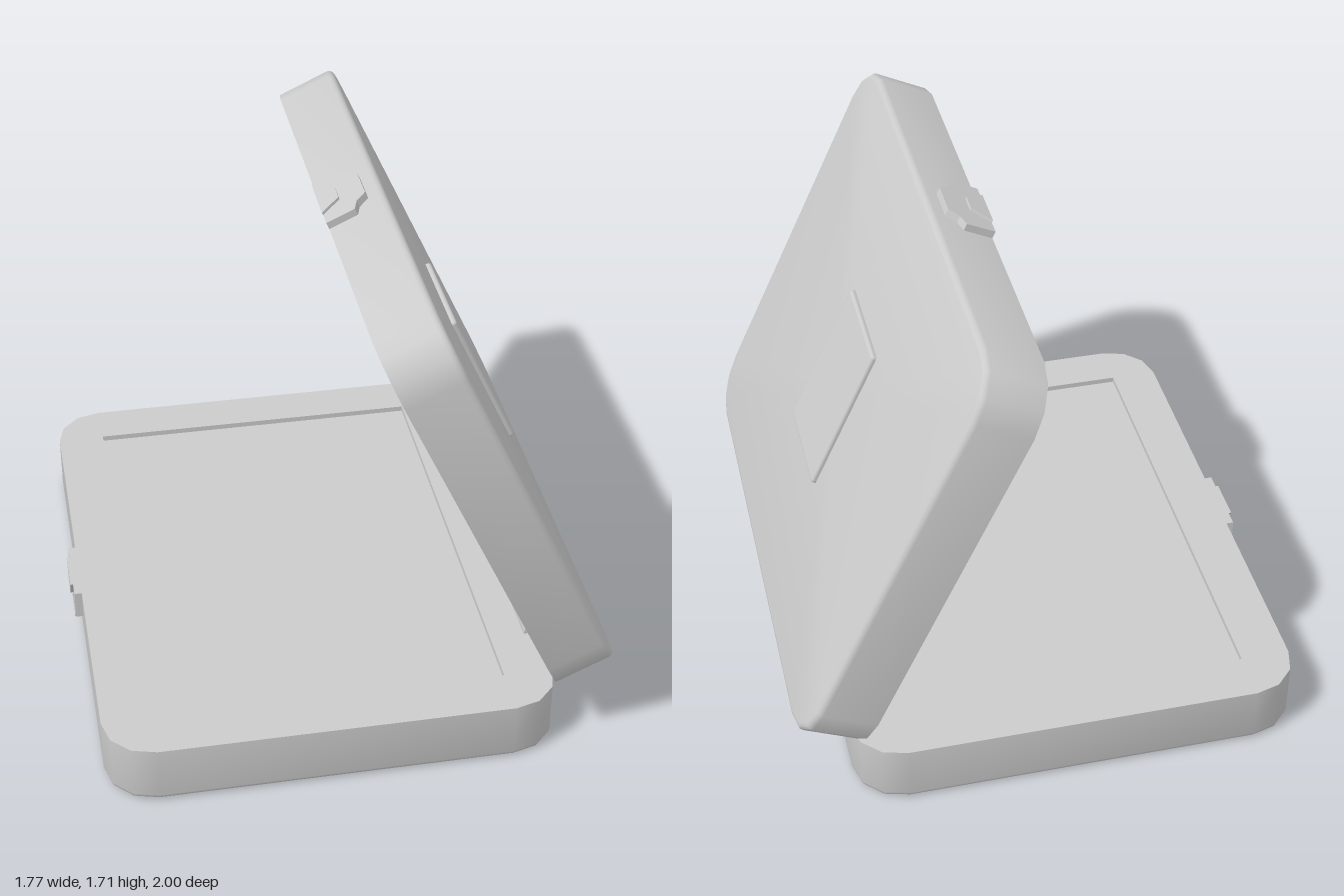
import * as THREE from 'three';
import { toCreasedNormals } from 'three/addons/utils/BufferGeometryUtils.js';
import { RoundedBoxGeometry } from 'three/addons/geometries/RoundedBoxGeometry.js';

const LENGTH = 1.55, WIDTH = 2, HEIGHT = 0.215, RADIUS = 0.17, RECESS = 0.02;
const OPENING = THREE.MathUtils.degToRad(65);
const material = new THREE.MeshStandardMaterial({ color: 0xcccccc });

function addMesh(parent, name, geometry, x = 0, y = 0, z = 0) {
  const mesh = new THREE.Mesh(geometry, material);
  mesh.name = name;
  mesh.position.set(x, y, z);
  parent.add(mesh);
  return mesh;
}

// Rounded rectangle at a given inset; inset = RADIUS gives square corners
function outline(inset, y, steps = 3) {
  const points = [];
  const signs = [[1, 1], [-1, 1], [-1, -1], [1, -1]];
  signs.forEach(([sx, sz], corner) => {
    for (let i = 0; i <= steps; i++) {
      const angle = (corner + i / steps) * Math.PI / 2;
      points.push([
        sx * (LENGTH / 2 - RADIUS) + (RADIUS - inset) * Math.cos(angle),
        y,
        sz * (WIDTH / 2 - RADIUS) + (RADIUS - inset) * Math.sin(angle),
      ]);
    }
  });
  return points;
}

// Shell of one half: outer face, soft edge, side wall, rim and shallow recess
function shellGeometry() {
  const bevel = 0.022;
  const rings = [];
  const flatCentre = (y) => outline(0, 0).map(() => [0, y, 0]);
  rings.push(flatCentre(-HEIGHT));
  for (let i = 0; i <= 3; i++) {
    const a = (i / 3) * Math.PI / 2;
    rings.push(outline(bevel * (1 - Math.sin(a)), -HEIGHT + bevel * (1 - Math.cos(a))));
  }
  rings.push(outline(0, 0), outline(RADIUS, 0), outline(RADIUS, -RECESS), flatCentre(-RECESS));

  const count = rings[0].length;
  const indices = [];
  for (let i = 0; i < rings.length - 1; i++) {
    for (let j = 0; j < count; j++) {
      const k = (j + 1) % count;
      const a = i * count + j, b = i * count + k;
      const c = a + count, d = b + count;
      indices.push(a, c, b, b, c, d);
    }
  }
  const geometry = new THREE.BufferGeometry();
  geometry.setAttribute('position', new THREE.Float32BufferAttribute(rings.flat(2), 3));
  geometry.setIndex(indices);
  return toCreasedNormals(geometry, 0.7);
}

// Symmetric plate hanging from the opening edge: rows of [half width, depth]
function latchPlate(rows, thickness) {
  const right = rows.map(([w, d]) => new THREE.Vector2(w, -d));
  const left = rows.map(([w, d]) => new THREE.Vector2(-w, -d)).reverse();
  const geometry = new THREE.ExtrudeGeometry(new THREE.Shape([...right, ...left]), {
    depth: thickness, bevelEnabled: false,
  });
  return geometry.rotateY(-Math.PI / 2);
}

// One half of the case, with its hinge edge on the local z axis
function createHalf(name) {
  const half = new THREE.Group();
  half.name = name;
  addMesh(half, name + 'Shell', shellGeometry(), -LENGTH / 2);
  addMesh(half, name + 'LatchPlate', latchPlate(
    [[0.135, 0], [0.135, 0.105], [0.095, 0.12], [0.068, 0.157]], 0.026), -LENGTH);
  addMesh(half, name + 'LatchCatch', latchPlate(
    [[0.08, 0], [0.036, 0.07]], 0.036), -LENGTH);
  return half;
}

export function createModel() {
  const model = new THREE.Group();
  model.name = 'hingedCase';

  const base = createHalf('base');
  base.position.set(0.7, HEIGHT, 0);

  // The lid is the same half turned over and swung open about the hinge
  const lid = createHalf('lid');
  lid.position.copy(base.position);
  lid.rotation.set(Math.PI, 0, OPENING);
  addMesh(lid, 'lidPanel', new RoundedBoxGeometry(0.55, 0.04, 0.41, 2, 0.012),
    -0.77, -HEIGHT + 0.002);
  model.add(base, lid);

  // Hinge barrels
  for (const side of [-1, 1]) {
    const barrel = new THREE.CylinderGeometry(0.05, 0.05, 0.17, 12).rotateX(Math.PI / 2);
    addMesh(model, side > 0 ? 'leftHinge' : 'rightHinge', barrel, 0.7, 0.212, side * 0.545);
  }
  return model;
}
